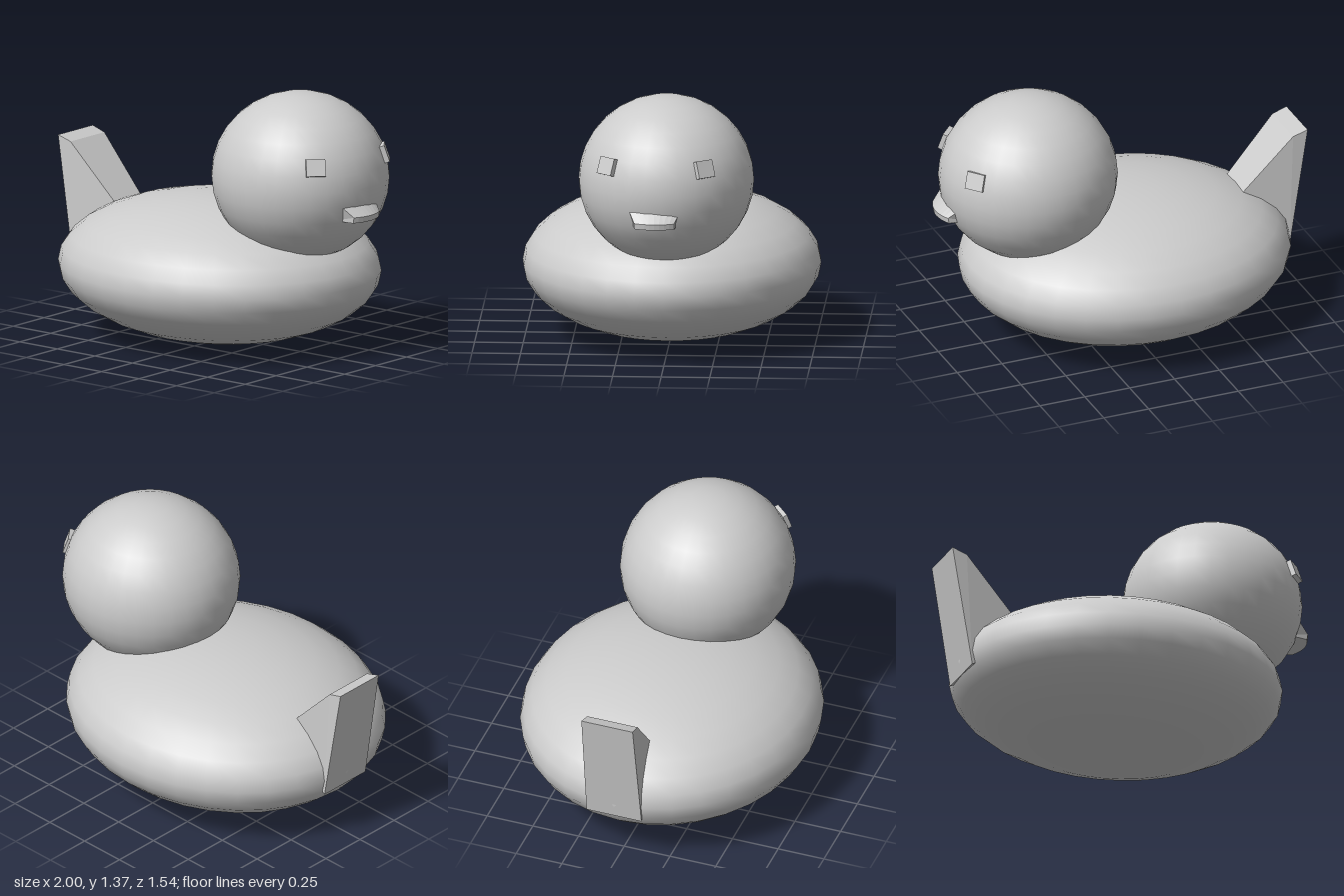
import * as THREE from 'three';

const smooth = new THREE.MeshStandardMaterial({ color: 0xcccccc });
const flat = new THREE.MeshStandardMaterial({ color: 0xcccccc, flatShading: true });

function add(group, name, geometry, material) {
  const mesh = new THREE.Mesh(geometry, material);
  mesh.name = name;
  group.add(mesh);
  return mesh;
}

function ellipsoid(rx, ry, rz) {
  return new THREE.SphereGeometry(1, 32, 16).scale(rx, ry, rz);
}

// Skins closed cross-sections (listed from -z to +z, corners counter-clockwise seen from +z) and caps both ends
function loft(sections) {
  const n = sections[0].length;
  const last = sections.length - 1;
  const index = [];
  for (let s = 0; s < last; s++) {
    for (let i = 0; i < n; i++) {
      const a = s * n + i, b = s * n + (i + 1) % n;
      index.push(a, b, b + n, a, b + n, a + n);
    }
  }
  for (let i = 1; i < n - 1; i++) {
    index.push(0, i + 1, i);
    index.push(last * n, last * n + i, last * n + i + 1);
  }
  const geometry = new THREE.BufferGeometry();
  geometry.setAttribute('position', new THREE.Float32BufferAttribute(sections.flat(2), 3));
  geometry.setIndex(index);
  const faceted = geometry.toNonIndexed();
  faceted.computeVertexNormals();
  return faceted;
}

export function createModel() {
  const model = new THREE.Group();
  model.name = 'duck';

  // Flattened body and round head
  add(model, 'body', ellipsoid(0.872, 0.378, 0.768), smooth).position.set(-0.037, 0.383, 0);
  add(model, 'head', ellipsoid(0.464, 0.437, 0.451), smooth).position.set(0.5, 0.938, 0);

  // Upright wedge tail: x, y and half width of each profile corner
  const tail = [
    [-0.895, 0.305, 0.15],
    [-0.55, 0.45, 0.1],
    [-0.56, 0.545, 0.1],
    [-0.66, 0.65, 0.108],
    [-0.92, 0.925, 0.137],
    [-1, 0.95, 0.14],
  ];
  add(model, 'tail', loft([-1, 1].map((side) =>
    tail.map(([x, y, w]) => [x, y, side * w - 0.003]))), flat);

  // Short curved beak, wider at the head than at the tip
  const beak = [];
  for (let i = 0; i <= 8; i++) {
    const t = i / 4 - 1;
    const bow = 0.028 * t * t;
    const zTip = 0.038 + 0.103 * t;
    const zTop = 0.038 + 0.13 * t;
    const zBase = 0.038 + 0.118 * t;
    beak.push([
      [0.87 - bow, 0.775, zBase],
      [0.995 - bow, 0.775, zTip],
      [1 - bow, 0.805, zTip],
      [0.945 - bow, 0.855, zTop],
      [0.87 - bow, 0.855, zTop],
    ]);
  }
  add(model, 'beak', loft(beak), flat);

  // Small block eyes lying on the head surface
  const eyes = [
    ['leftEye', 0.832, 0.282, 0.83],
    ['rightEye', 0.877, -0.212, 2.25],
  ];
  for (const [name, x, z, yaw] of eyes) {
    const eye = add(model, name, new THREE.BoxGeometry(0.1, 0.09, 0.04), flat);
    eye.position.set(x, 1.072, z);
    eye.rotation.set(-0.33, yaw, 0, 'YXZ');
  }

  return model;
}
